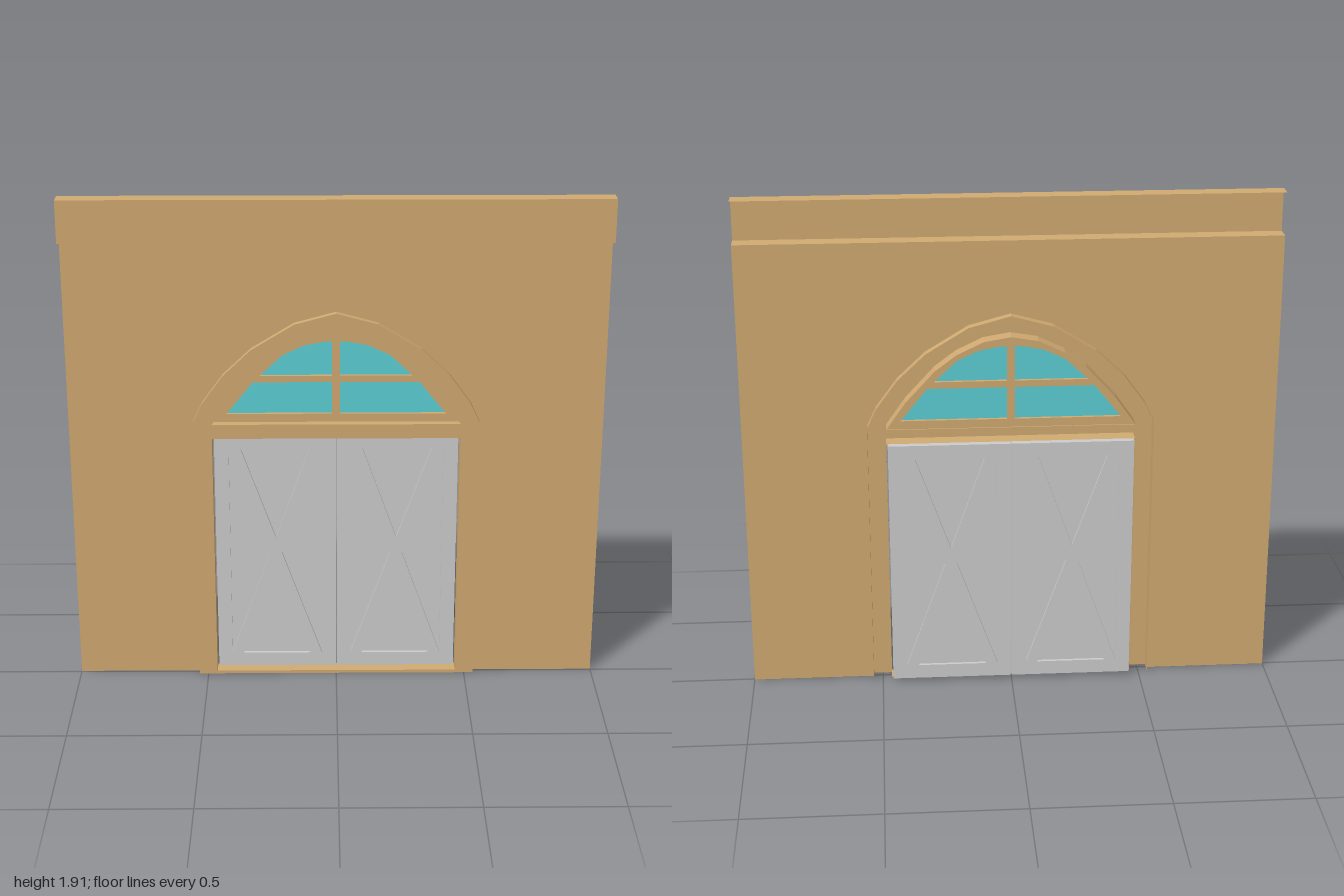
import * as THREE from 'three';

const tan = new THREE.MeshStandardMaterial({ color: 0xd0a971, side: THREE.DoubleSide, flatShading: true });
const grey = new THREE.MeshStandardMaterial({ color: 0xcccccc, flatShading: true });
const teal = new THREE.MeshStandardMaterial({ color: 0x5bced4, side: THREE.DoubleSide });

const vecs = pts => pts.map(([x, y]) => new THREE.Vector2(x, y));
const flipX = pts => pts.map(([x, y]) => [-x, y]).reverse();
// Right half (bottom to apex) mirrored into a full outline
const mirror = half => [...half, ...flipX(half.slice(0, -1))];

function shapeOf(outline, holes = []) {
  const s = new THREE.Shape(vecs(outline));
  s.holes = holes.map(h => new THREE.Path(vecs(h)));
  return s;
}
function add(parent, name, geo, mat, z = 0) {
  const m = new THREE.Mesh(geo, mat);
  m.name = name;
  m.position.z = z;
  parent.add(m);
  return m;
}
const sheet = (outline, holes) => new THREE.ShapeGeometry(shapeOf(outline, holes));
const slab = (outline, holes, depth) =>
  new THREE.ExtrudeGeometry(shapeOf(outline, holes), { depth, bevelEnabled: false });

// Thin wall following a path, from z0 to z1
function rim(path, z0, z1, closed) {
  const pos = [];
  const n = closed ? path.length : path.length - 1;
  for (let i = 0; i < n; i++) {
    const [ax, ay] = path[i], [bx, by] = path[(i + 1) % path.length];
    pos.push(ax, ay, z0, bx, by, z0, bx, by, z1, ax, ay, z0, bx, by, z1, ax, ay, z1);
  }
  const g = new THREE.BufferGeometry();
  g.setAttribute('position', new THREE.Float32BufferAttribute(pos, 3));
  g.computeVertexNormals();
  return g;
}

const WALL_Z = -0.005, FRONT = 0.02, BACK = -0.04;
const outer = mirror([[0.535, 0], [0.535, 1.05], [0.5, 1.125], [0.42, 1.235], [0.315, 1.335], [0.155, 1.433], [0, 1.475]]);
const inner = mirror([[0.465, 1.043], [0.39, 1.15], [0.28, 1.27], [0.2, 1.33], [0.1, 1.378], [0, 1.395]]);
const doorway = [[-0.465, 0.012], [0.465, 0.012], [0.465, 0.987], [-0.465, 0.987]];

function makeDoor() {
  const door = new THREE.Group();
  const w = 0.46, y0 = 0.015, y1 = 0.985, m = 0.055, s = 0.045;
  const l = m, r = w - m, b = y0 + m, t = y1 - m, cx = w / 2, cy = (y0 + y1) / 2;
  // Distance of triangle tips from the crossing of the braces
  const dx = s / 2, dy = dx * (t - b) / (r - l - s);
  const gaps = [
    [[l, b], [cx - dx, cy], [l, t]],
    [[r, t], [cx + dx, cy], [r, b]],
    [[l + s, t], [cx, cy + dy], [r - s, t]],
    [[r - s, b], [cx, cy - dy], [l + s, b]],
  ];
  add(door, 'doorBraces', slab([[0.001, y0], [w, y0], [w, y1], [0.001, y1]], gaps, 0.04), grey, -0.06);
  const panel = add(door, 'doorPanel', new THREE.BoxGeometry(r - l + 0.02, t - b + 0.02, 0.016), grey, -0.04);
  panel.position.x = cx;
  panel.position.y = cy;
  return door;
}

export function createModel() {
  const model = new THREE.Group();

  // Wall sheet with an arched opening
  const wall = [[-1, 0], [-0.535, 0], ...outer.slice().reverse().slice(1, -1), [0.535, 0], [1, 0], [1, 1.75], [-1, 1.75]];
  add(model, 'wall', sheet(wall), tan, WALL_Z);

  // Cornice: a channel open at the back and the ends
  const cornice = new THREE.Group();
  cornice.name = 'cornice';
  add(cornice, 'corniceFace', sheet([[-1, 1.75], [1, 1.75], [1, 1.91], [-1, 1.91]]), tan, 0.06);
  for (const y of [1.75, 1.91]) add(cornice, 'corniceLedge', rim([[-1, y], [1, y]], WALL_Z, 0.06, false), tan);
  model.add(cornice);

  // Arched frame: front face with rims running back
  const frame = new THREE.Group();
  frame.name = 'archFrame';
  add(frame, 'frameFace', sheet(outer, [doorway, inner]), tan, FRONT);
  add(frame, 'frameOuterRim', rim(outer, BACK, FRONT, false), tan);
  add(frame, 'doorwayRim', rim(doorway, BACK, FRONT, true), tan);
  add(frame, 'windowRim', rim(inner, BACK, FRONT, true), tan);
  model.add(frame);

  // Fanlight: four panes divided by glazing bars
  const lower = [[0.015, 1.075], [0.41, 1.075], [0.31, 1.2], [0.015, 1.2]];
  const upper = [[0.015, 1.225], [0.285, 1.225], [0.2, 1.305], [0.12, 1.343], [0.05, 1.357], [0.015, 1.359]];
  const panes = [lower, upper, flipX(lower), flipX(upper)];
  const fanlight = new THREE.Group();
  fanlight.name = 'fanlight';
  add(fanlight, 'glazingBars', slab(inner, panes, 0.025), tan, -0.035);
  for (const p of panes) add(fanlight, 'windowPane', sheet(p), teal, -0.022);
  model.add(fanlight);

  // Pair of braced door leaves
  const leftDoor = makeDoor();
  leftDoor.name = 'leftDoor';
  const rightDoor = makeDoor();
  rightDoor.name = 'rightDoor';
  rightDoor.position.x = -0.461;
  model.add(leftDoor, rightDoor);

  return model;
}
